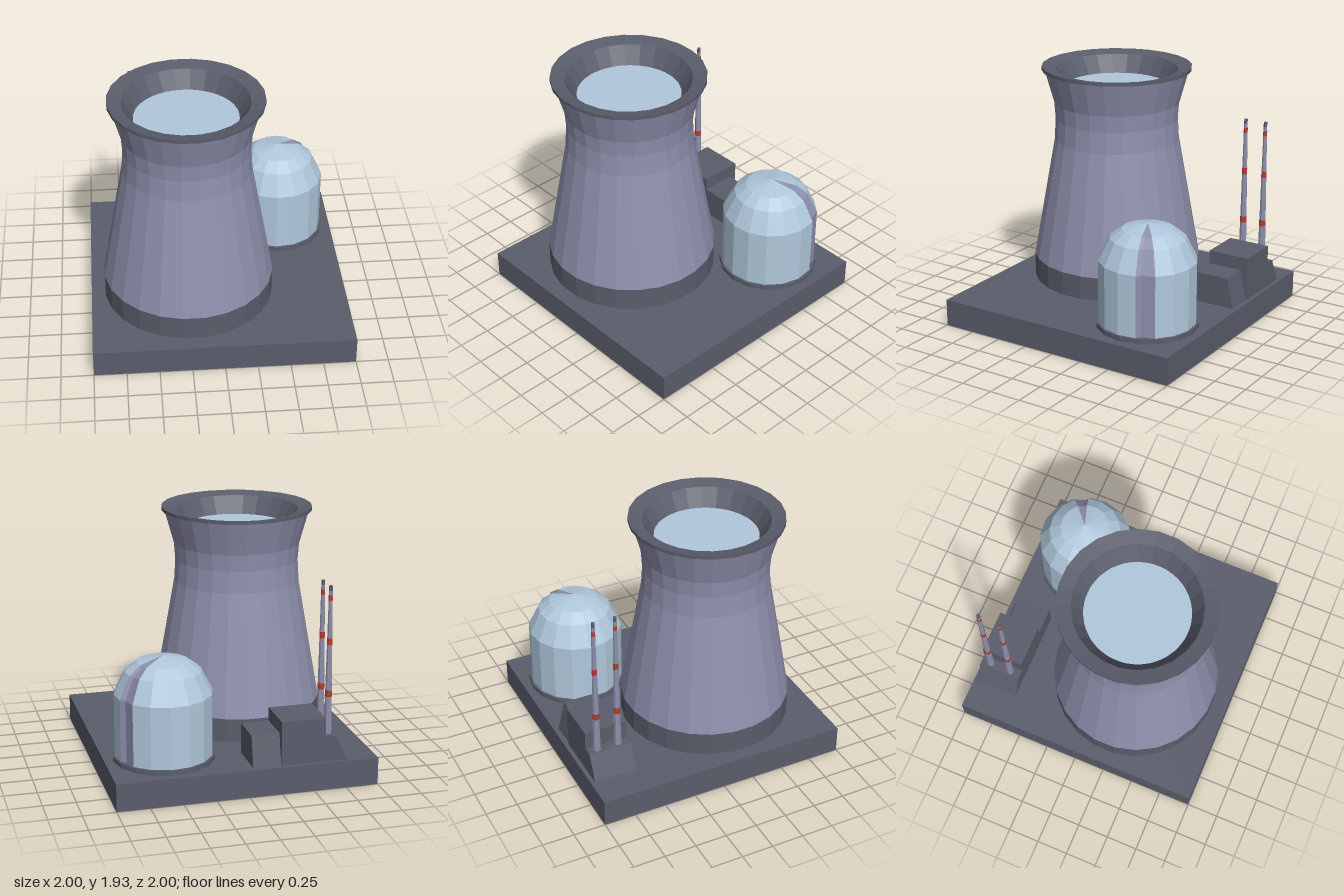
import * as THREE from 'three';

const makeMat = (name, color) => {
  const m = new THREE.MeshStandardMaterial({ color, flatShading: true });
  m.name = name;
  return m;
};

export function createModel() {
  const model = new THREE.Group();
  model.name = 'powerPlant';

  const slate = makeMat('slate', 0x5a5d6b);
  const concrete = makeMat('lilacConcrete', 0x8f90ad);
  const paleBlue = makeMat('paleBlue', 0xb0c8dc);
  const red = makeMat('signalRed', 0xb83c30);

  const add = (parent, name, geometry, material, x = 0, y = 0, z = 0) => {
    const mesh = new THREE.Mesh(geometry, material);
    mesh.name = name;
    mesh.position.set(x, y, z);
    parent.add(mesh);
    return mesh;
  };
  const lathe = (pts, segments, start = 0, length = Math.PI * 2) =>
    new THREE.LatheGeometry(pts.map(([r, y]) => new THREE.Vector2(r, y)), segments, start, length);
  const group = (name, x, z) => {
    const g = new THREE.Group();
    g.name = name;
    g.position.set(x, 0, z);
    model.add(g);
    return g;
  };

  const ground = 0.213;
  add(model, 'basePlate', new THREE.BoxGeometry(2, ground, 2), slate, 0, ground / 2, 0);

  // Cooling tower: dark foot, waisted shell, rim with sloping throat, water disc
  const tower = group('coolingTower', -0.232, 0.217);
  const sides = 24, half = Math.PI / sides;
  const ring = (pts) => lathe(pts, sides, half);
  add(tower, 'towerFoot', ring([[0.663, ground], [0.663, 0.4]]), slate);
  add(tower, 'towerShell', ring([
    [0.663, 0.4], [0.493, 1.35], [0.483, 1.52], [0.493, 1.65], [0.565, 1.908],
  ]), concrete);
  add(tower, 'towerRim', ring([
    [0.56, 1.908], [0.588, 1.908], [0.588, 1.935], [0.48, 1.912], [0.395, 1.775],
  ]), slate);
  add(tower, 'towerWater', new THREE.CircleGeometry(0.396, sides).rotateX(-Math.PI / 2), paleBlue, 0, 1.776, 0);

  // Reactor dome with one recessed panel
  const dome = group('reactorDome', 0.545, -0.555);
  const deg = Math.PI / 180;
  const domeProfile = [[0.37, 0.245], [0.37, 0.73], [0.285, 0.9], [0.195, 0.968], [0, 1.013]];
  add(dome, 'domeFoot', new THREE.CylinderGeometry(0.388, 0.388, 0.037, 16), slate, 0, ground + 0.0185, 0);
  add(dome, 'domeShell', lathe(domeProfile, 15, 130 * deg, 338 * deg), paleBlue);
  const panel = lathe(domeProfile, 2, 108 * deg, 22 * deg);
  domeProfile.forEach(([r, y], j) => {
    const a = 114 * deg, inner = r * 0.93;
    panel.attributes.position.setXYZ(domeProfile.length + j, inner * Math.sin(a), y, inner * Math.cos(a));
  });
  add(dome, 'domePanel', panel, concrete);

  // Turbine buildings: boxes whose top edge may be pulled in on one side
  const hall = group('turbineBuildings', 0, 0);
  const block = (name, x0, x1, z0, z1, top, insetX = 0, insetZ = 0) => {
    const g = new THREE.BoxGeometry(x1 - x0, top - ground, z1 - z0);
    const p = g.attributes.position;
    for (let i = 0; i < p.count; i++) {
      if (p.getY(i) < 0) continue;
      if (p.getX(i) < 0) p.setX(i, p.getX(i) + insetX);
      if (p.getZ(i) < 0) p.setZ(i, p.getZ(i) + insetZ);
    }
    add(hall, name, g, slate, (x0 + x1) / 2, (top + ground) / 2, (z0 + z1) / 2);
  };
  block('mainHall', -0.59, -0.25, -0.967, -0.63, 0.555);
  block('chimneyBlock', -0.76, -0.59, -0.967, -0.63, 0.41, 0.09);
  block('sideHall', -0.25, -0.035, -0.96, -0.63, 0.45, 0, 0.055);

  // Chimneys: tapered sections alternating with red bands
  const foot = 0.4, tip = 1.545;
  const levels = [foot, 0.7, 0.75, 1.1, 1.15, 1.435, 1.475, 1.51, tip];
  const radius = (y) => THREE.MathUtils.mapLinear(y, foot, tip, 0.031, 0.014);
  for (const z of [-0.89, -0.72]) {
    const chimney = group('chimney', -0.63, z);
    for (let i = 0; i < levels.length - 1; i++) {
      const a = levels[i], b = levels[i + 1];
      const isTip = i === levels.length - 2, isBand = i % 2 === 1 && !isTip;
      const grow = isBand ? 0.001 : 0;
      add(chimney, isTip ? 'chimneyTip' : isBand ? 'chimneyBand' : 'chimneySection',
        new THREE.CylinderGeometry(radius(b) + grow, radius(a) + grow, b - a, 8, 1, !isTip),
        isTip ? slate : isBand ? red : concrete, 0, (a + b) / 2, 0);
    }
  }

  return model;
}
